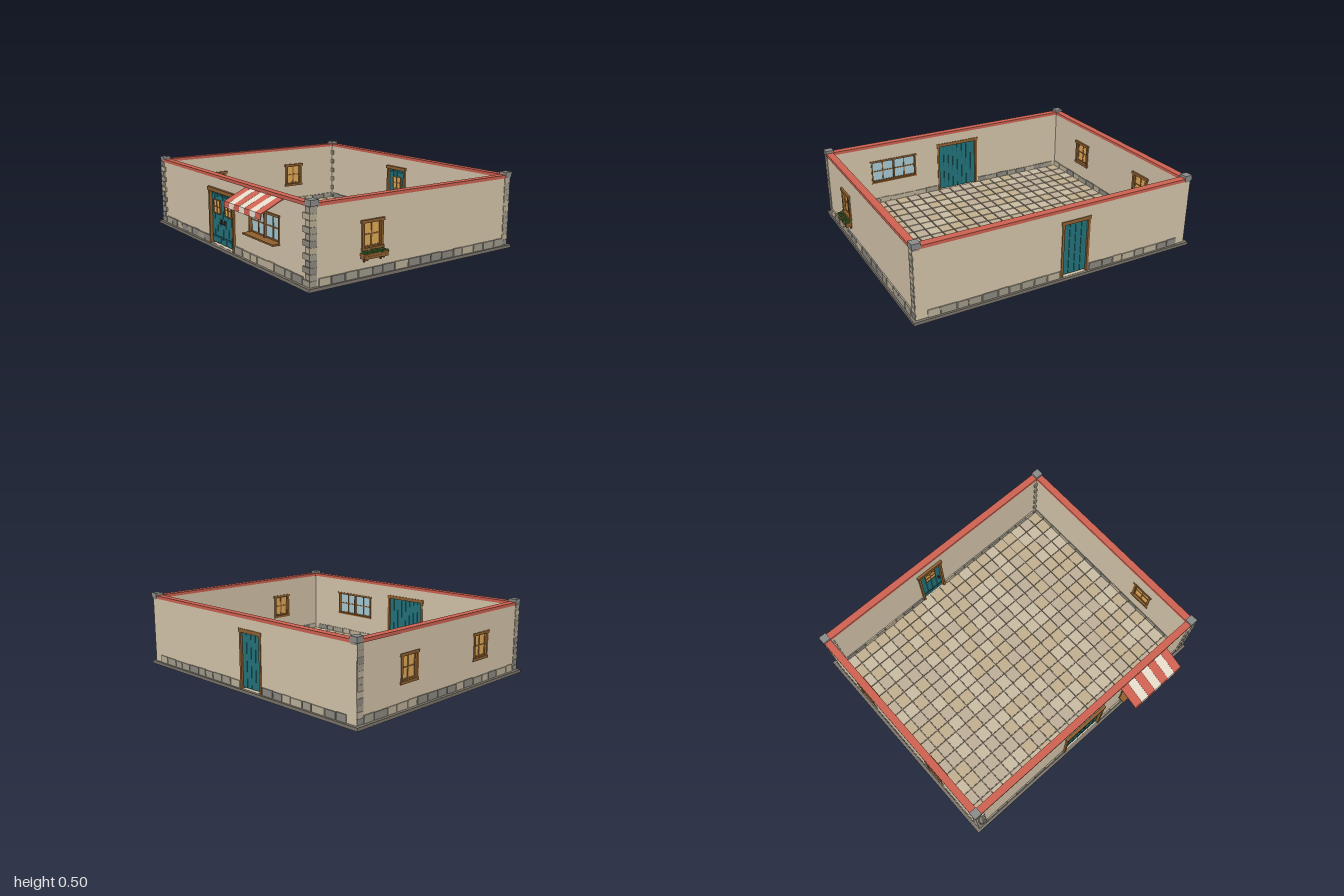
import * as THREE from 'three';
import { mergeGeometries } from 'three/addons/utils/BufferGeometryUtils.js';

const C = {
  plaster: 0xd6c6ac, coping: 0xcf6252, cap: 0x8c8c8a, base: 0x7c766c, grout: 0x6a6056,
  wood: 0x8f6030, darkWood: 0x6b4524, teal: 0x23747c, darkTeal: 0x18565e,
  amber: 0xe2ab58, glass: 0xa9cdd8, cream: 0xe6dccb, metal: 0x3a3530, leaf: 0x3f7030, flower: 0xc4503f,
};
const STONES = [0xbdb19a, 0xa39c8c, 0x8e8a82];
const TILES = [0xcbbda4, 0xbfb09a, 0xc2b08f];
const TOP = 0.465, BOTTOM = 0.02, HALF = 0.02; // wall top, foot and half thickness

let seed = 7;
const rand = () => (seed = (seed * 16807) % 2147483647) / 2147483647;

// Box from its extents
function box(x0, x1, y0, y1, z0, z1) {
  return new THREE.BoxGeometry(x1 - x0, y1 - y0, z1 - z0)
    .translate((x0 + x1) / 2, (y0 + y1) / 2, (z0 + z1) / 2);
}

// Add one mesh made of several geometries in the same colour
function add(parent, name, color, ...geos) {
  if (!geos.length) return;
  const mesh = new THREE.Mesh(geos.length > 1 ? mergeGeometries(geos) : geos[0],
    new THREE.MeshStandardMaterial({ color }));
  mesh.name = name;
  parent.add(mesh);
}

// Add geometries sorted into one mesh per palette colour
function addMixed(parent, name, palette, geos) {
  const bins = palette.map(() => []);
  geos.forEach(g => bins[Math.floor(rand() * palette.length)].push(g));
  bins.forEach((b, i) => add(parent, name, palette[i], ...b));
}

// Wall facing local +z, with rectangular openings [x0, x1, y0, y1]
function makeWall(name, x0, x1, openings) {
  const g = new THREE.Group();
  g.name = name;
  const rect = (p, a, b, c, d) => p.moveTo(a, c).lineTo(b, c).lineTo(b, d).lineTo(a, d).closePath();
  const shape = rect(new THREE.Shape(), x0, x1, BOTTOM, TOP);
  openings.forEach(o => shape.holes.push(rect(new THREE.Path(), ...o)));
  add(g, 'wallPanel', C.plaster,
    new THREE.ExtrudeGeometry(shape, { depth: 2 * HALF, bevelEnabled: false }).translate(0, 0, -HALF));
  return g;
}

// Row of foundation stones
function addStones(wall, x0, x1) {
  const stones = [];
  const n = Math.round((x1 - x0) / 0.09), pitch = (x1 - x0) / n;
  let a = x0;
  for (let i = 1; i <= n; i++) {
    const b = i === n ? x1 : x0 + i * pitch + (rand() - 0.5) * 0.025;
    stones.push(box(a + 0.003, b - 0.003, BOTTOM, 0.064 + rand() * 0.005, -0.026, 0.028 + rand() * 0.003));
    a = b;
  }
  addMixed(wall, 'foundationStones', STONES, stones);
}

// Alternating corner stones at both ends of a wall
function addQuoins(wall, x0, x1) {
  const quoins = [], n = 12, h = (TOP - BOTTOM) / n;
  for (let i = 0; i < n; i++) {
    const w = i % 2 ? 0.042 : 0.068, y = BOTTOM + i * h;
    quoins.push(box(x0, x0 + w, y + 0.002, y + h - 0.002, -0.018, 0.03));
    quoins.push(box(x1 - w, x1, y + 0.002, y + h - 0.002, -0.018, 0.03));
  }
  addMixed(wall, 'cornerStones', STONES, quoins);
}

// Glazed panel with a border and cross bars
function addPanes(g, color, x0, x1, y0, y1, z0, z1, cols, rows, bar) {
  add(g, 'panes', color, box(x0, x1, y0, y1, z0, z1));
  const bars = [], a = z0 - 0.004, b = z1 + 0.004;
  for (let i = 0; i <= cols; i++) {
    const x = x0 + (x1 - x0) * i / cols;
    bars.push(box(x - bar, x + bar, y0 - bar, y1 + bar, a, b));
  }
  for (let j = 0; j <= rows; j++) {
    const y = y0 + (y1 - y0) * j / rows;
    bars.push(box(x0, x1, y - bar, y + bar, a + 0.0005, b - 0.0005));
  }
  add(g, 'glazingBars', C.wood, ...bars);
}

// Planked door with leaves, frame, small windows and handles
function makeDoor(name, x0, x1, top, leaves) {
  const g = new THREE.Group();
  g.name = name;
  add(g, 'doorFrame', C.wood,
    box(x0, x0 + 0.016, BOTTOM, top - 0.02, -0.025, 0.033), box(x1 - 0.016, x1, BOTTOM, top - 0.02, -0.025, 0.033),
    box(x0 - 0.006, x1 + 0.006, top - 0.024, top, -0.025, 0.038));
  const a = x0 + 0.016, w = (x1 - x0 - 0.032) / leaves, planks = 4, pw = w / planks;
  for (let l = 0; l < leaves; l++) {
    const s = a + l * w, mid = s + w / 2;
    add(g, 'doorCore', C.darkTeal, box(s, s + w, 0.03, top - 0.024, -0.009, 0.009));
    const boards = [];
    for (let i = 0; i < planks; i++)
      boards.push(box(s + i * pw + 0.0015, s + (i + 1) * pw - 0.0015, 0.031, top - 0.026, -0.013, 0.014));
    add(g, 'doorPlanks', C.teal, ...boards);
    add(g, 'doorBands', C.darkTeal, box(s + 0.005, s + w - 0.005, 0.065, 0.08, 0.013, 0.018),
      box(s + 0.005, s + w - 0.005, top - 0.05, top - 0.036, 0.013, 0.018));
    addPanes(g, C.amber, mid - 0.041, mid + 0.041, 0.23, 0.316, 0.012, 0.018, 2, 2, 0.003);
    const hx = l === 0 ? s + w - 0.02 : s + 0.02;
    add(g, 'doorHandle', C.metal, new THREE.SphereGeometry(0.008, 10, 8).translate(hx, 0.18, 0.024),
      box(hx - 0.005, hx + 0.005, 0.165, 0.195, 0.013, 0.018));
  }
  return g;
}

// Small framed window centred at local x
function makeWindow(x) {
  const g = new THREE.Group();
  g.name = 'smallWindow';
  addPanes(g, C.amber, -0.06, 0.06, 0.19, 0.326, -0.006, 0.012, 2, 2, 0.004);
  add(g, 'windowFrame', C.wood,
    box(-0.076, -0.06, 0.18, 0.328, -0.024, 0.03), box(0.06, 0.076, 0.18, 0.328, -0.024, 0.03),
    box(-0.084, 0.084, 0.328, 0.346, -0.025, 0.034), box(-0.08, 0.08, 0.168, 0.186, -0.025, 0.034));
  g.position.x = x;
  return g;
}

// Planter on brackets below a window
function makeFlowerBox(x) {
  const g = new THREE.Group();
  g.name = 'flowerBox';
  add(g, 'planter', C.wood, box(-0.085, 0.085, 0.128, 0.143, 0.024, 0.062), box(-0.088, 0.088, 0.145, 0.16, 0.024, 0.066));
  add(g, 'planterBrackets', C.darkWood, ...[-0.06, 0.06].flatMap(s => [
    box(s - 0.005, s + 0.005, 0.105, 0.13, 0.02, 0.032), box(s - 0.005, s + 0.005, 0.12, 0.13, 0.02, 0.058)]));
  const leaves = [], blooms = [];
  for (let i = 0; i < 26; i++) {
    const px = -0.08 + i * 0.0064, pz = 0.034 + rand() * 0.03, py = 0.158 + rand() * 0.012;
    leaves.push(new THREE.IcosahedronGeometry(0.011, 0).rotateY(i).translate(px, py, pz));
    if (i % 6 === 2) blooms.push(new THREE.IcosahedronGeometry(0.005, 0).translate(px, py + 0.01, pz + 0.004));
  }
  add(g, 'leaves', C.leaf, ...leaves);
  add(g, 'flowers', C.flower, ...blooms);
  g.position.x = x;
  return g;
}

// Sloping striped awning with a hanging valance
function makeAwning() {
  const g = new THREE.Group();
  g.name = 'awning';
  const profile = new THREE.Shape([[0.02, 0.463], [0.166, 0.395], [0.17, 0.36], [0.165, 0.36], [0.161, 0.391], [0.02, 0.457]]
    .map(p => new THREE.Vector2(...p)));
  for (let i = 0; i < 7; i++) {
    add(g, 'awningStripe', i % 2 ? C.cream : C.coping,
      new THREE.ExtrudeGeometry(profile, { depth: 0.0595, bevelEnabled: false })
        .rotateY(-Math.PI / 2).translate(0.255 + (i + 1) * 0.06, 0, 0));
  }
  return g;
}

export function createModel() {
  const model = new THREE.Group();
  model.name = 'walledShop';
  const XL = -0.955, XR = 0.921, ZB = -0.821, ZF = 0.687;

  // Base slab and floor
  add(model, 'baseSlab', C.base, box(-1, 0.96, 0, BOTTOM, -0.86, 0.733));
  add(model, 'floorGrout', C.grout, box(-0.935, 0.901, BOTTOM, 0.024, -0.801, 0.667));
  const tiles = [], nx = 21, nz = 16, tx = 1.836 / nx, tz = 1.468 / nz;
  for (let i = 0; i < nx; i++) for (let j = 0; j < nz; j++) {
    const x = -0.935 + i * tx, z = -0.801 + j * tz;
    tiles.push(box(x + 0.004, x + tx - 0.004, 0.022, 0.03, z + 0.004, z + tz - 0.004));
  }
  addMixed(model, 'floorTiles', TILES, tiles);

  // Front wall: double door, wide window and awning
  const front = makeWall('frontWall', -0.975, 0.94, [[-0.215, 0.11, 0.021, 0.395], [0.29, 0.63, 0.195, 0.352]]);
  front.position.z = ZF;
  addStones(front, -0.907, -0.222);
  addStones(front, 0.116, 0.872);
  addQuoins(front, -0.978, 0.944);
  front.add(makeDoor('doubleDoor', -0.217, 0.112, 0.397, 2), makeAwning());
  const shop = new THREE.Group();
  shop.name = 'wideWindow';
  addPanes(shop, C.glass, 0.296, 0.624, 0.2, 0.345, -0.005, 0.005, 4, 2, 0.004);
  add(shop, 'wideWindowFrame', C.wood, box(0.28, 0.64, 0.346, 0.359, -0.026, 0.032),
    box(0.288, 0.297, 0.196, 0.348, -0.024, 0.024), box(0.623, 0.632, 0.196, 0.348, -0.024, 0.024),
    box(0.455, 0.465, 0.196, 0.348, -0.02, 0.02));
  add(shop, 'servingSill', C.wood, box(0.285, 0.635, 0.186, 0.196, -0.024, 0.068));
  front.add(shop);

  // Back wall: single door facing into the yard
  const back = makeWall('backWall', -0.975, 0.94, [[-0.205, -0.01, 0.021, 0.395]]);
  back.position.z = ZB;
  addStones(back, -0.907, -0.212);
  addStones(back, -0.004, 0.872);
  addQuoins(back, -0.978, 0.944);
  back.add(makeDoor('singleDoor', -0.207, -0.008, 0.397, 1));

  // Side walls, turned so local +z points to +x
  const sides = [['plusXWall', XR, [-0.29]], ['minusXWall', XL, [-0.285, 0.41]]].map(([name, x, wins]) => {
    const wall = makeWall(name, -0.667, 0.801, wins.map(u => [u - 0.07, u + 0.07, 0.175, 0.335]));
    wall.rotation.y = Math.PI / 2;
    wall.position.x = x;
    addStones(wall, -0.66, 0.79);
    wins.forEach(u => wall.add(makeWindow(u)));
    return wall;
  });
  sides[0].add(makeFlowerBox(-0.29));
  model.add(front, back, ...sides);

  // Red coping and stone corner caps
  const w = 0.024, y0 = 0.462, y1 = 0.482;
  add(model, 'coping', C.coping,
    ...[ZF, ZB].map(z => box(XL, XR, y0, y1, z - w, z + w)),
    ...[XL, XR].map(x => box(x - w, x + w, y0, y1, ZB + w, ZF - w)));
  for (const x of [XL, XR]) for (const z of [ZB, ZF])
    add(model, 'cornerCap', C.cap, box(x - 0.027, x + 0.027, 0.466, 0.5, z - 0.027, z + 0.027),
      box(x - 0.022, x + 0.022, 0.455, 0.467, z - 0.022, z + 0.022));
  return model;
}
